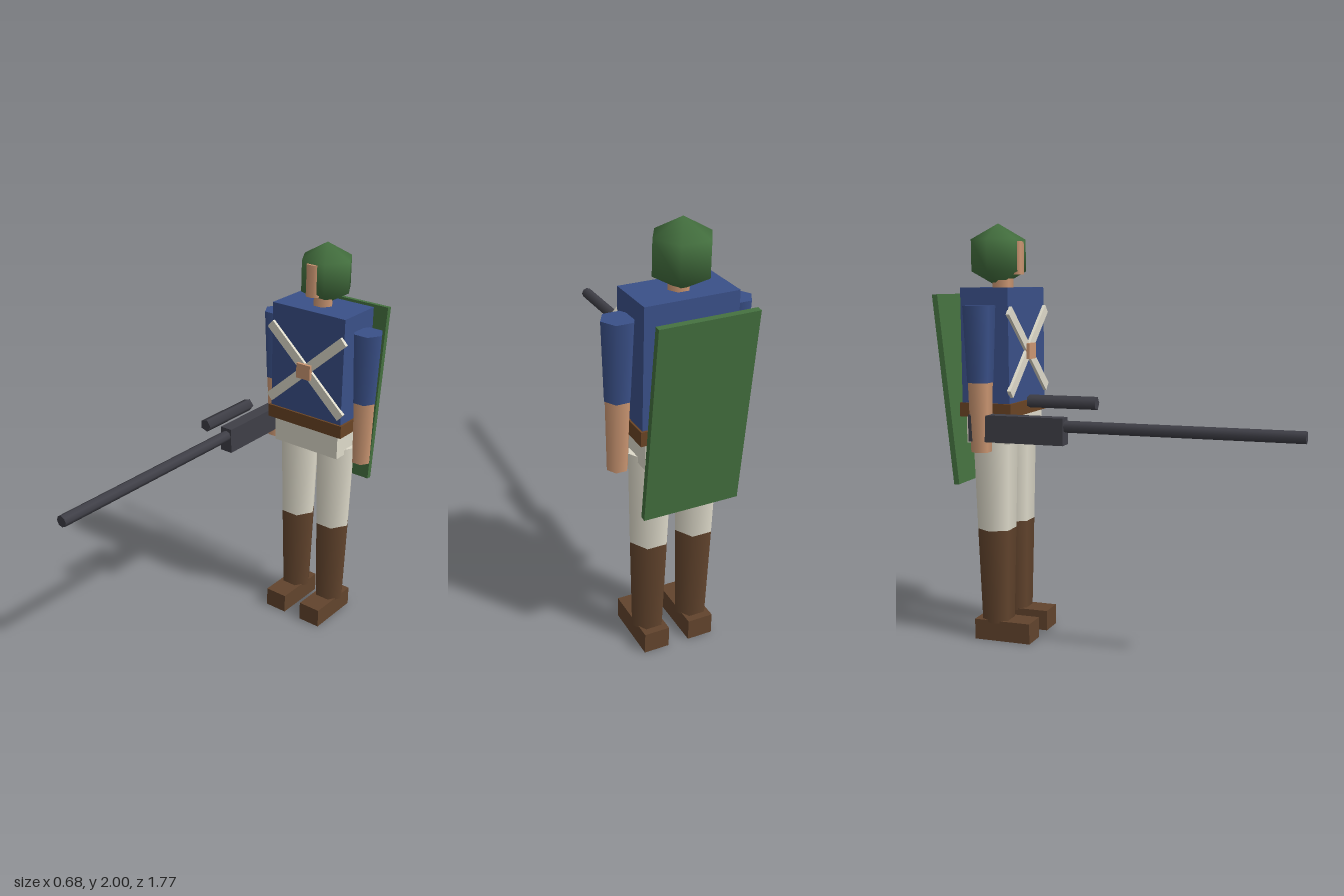
import * as THREE from 'three';

const mat = (name, color) => {
  const m = new THREE.MeshStandardMaterial({ color });
  m.name = name;
  return m;
};

export function createModel() {
  const root = new THREE.Group();
  root.name = 'soldier';
  const blue = mat('coat blue', 0x3a5088);
  const green = mat('helmet green', 0x44703f);
  const brown = mat('boot brown', 0x62442d);
  const leather = mat('belt leather', 0x6a4424);
  const cream = mat('cream cloth', 0xdedaca);
  const skin = mat('skin', 0xcb9672);
  const metal = mat('gun metal', 0x3f3f47);
  const Z = -0.62; // depth of the body's centre

  const add = (name, geometry, material, x, y, z) => {
    const m = new THREE.Mesh(geometry, material);
    m.name = name;
    m.position.set(x, y, z);
    root.add(m);
    return m;
  };
  const box = (name, material, w, h, d, x, y, z) =>
    add(name, new THREE.BoxGeometry(w, h, d), material, x, y, z);
  // Six-sided tapered limb between two heights, corners pointing sideways
  const limb = (name, material, rTop, rBottom, yTop, yBottom, x, z = Z) => {
    const g = new THREE.CylinderGeometry(rTop, rBottom, yTop - yBottom, 6).rotateY(Math.PI / 2);
    return add(name, g, material, x, (yTop + yBottom) / 2, z);
  };
  // Rod lying along z
  const rod = (name, r, sides, z0, z1, x, y) => {
    const g = new THREE.CylinderGeometry(r, r, z1 - z0, sides)
      .rotateY(Math.PI / 2).rotateX(Math.PI / 2);
    return add(name, g, metal, x, y, (z0 + z1) / 2);
  };

  // Trunk
  box('torso', blue, 0.42, 0.54, 0.24, 0, 1.43, Z);
  box('belt', leather, 0.44, 0.065, 0.26, 0, 1.133, Z);
  box('hips', cream, 0.38, 0.14, 0.22, 0, 1.043, Z);

  // Legs, boots and arms
  for (const [side, s] of [['left', 1], ['right', -1]]) {
    limb(side + 'Thigh', cream, 0.105, 0.092, 1.0, 0.55, s * 0.11);
    limb(side + 'Boot', brown, 0.092, 0.077, 0.55, 0.09, s * 0.11);
    box(side + 'Foot', brown, 0.12, 0.1, 0.286, s * 0.11, 0.05, -0.577);
    limb(side + 'Sleeve', blue, 0.075, 0.06, 1.618, 1.268, s * 0.263);
    limb(side + 'Forearm', skin, 0.057, 0.048, 1.268, 0.945, s * 0.263);
  }

  // Crossed chest straps and buckle
  for (const s of [1, -1]) {
    const strap = box('chestStrap', cream, 0.575, 0.047, 0.018, 0, 1.403, -0.494);
    strap.rotation.z = s * 0.735;
  }
  box('buckle', skin, 0.08, 0.075, 0.018, 0, 1.4, -0.479);

  // Neck, helmet and face
  limb('neck', skin, 0.05, 0.05, 1.78, 1.69, 0);
  add('helmet', new THREE.SphereGeometry(0.15, 6, 3), green, 0, 1.85, -0.64);
  const face = limb('face', skin, 0.038, 0.038, 1.915, 1.76, -0.007, -0.537);
  face.scale.z = 0.7;

  // Tilted shield on the back
  const shield = box('backShield', green, 0.44, 0.9, 0.027, 0, 1.22, -0.822);
  shield.rotation.x = -0.103;

  // Long gun at the right hand
  box('gunBody', metal, 0.065, 0.125, 0.468, -0.262, 1.058, -0.437);
  rod('gunBarrel', 0.0275, 8, -0.25, 0.885, -0.26, 1.08);
  rod('gunSight', 0.031, 5, -0.378, -0.05, -0.262, 1.19);

  return root;
}
